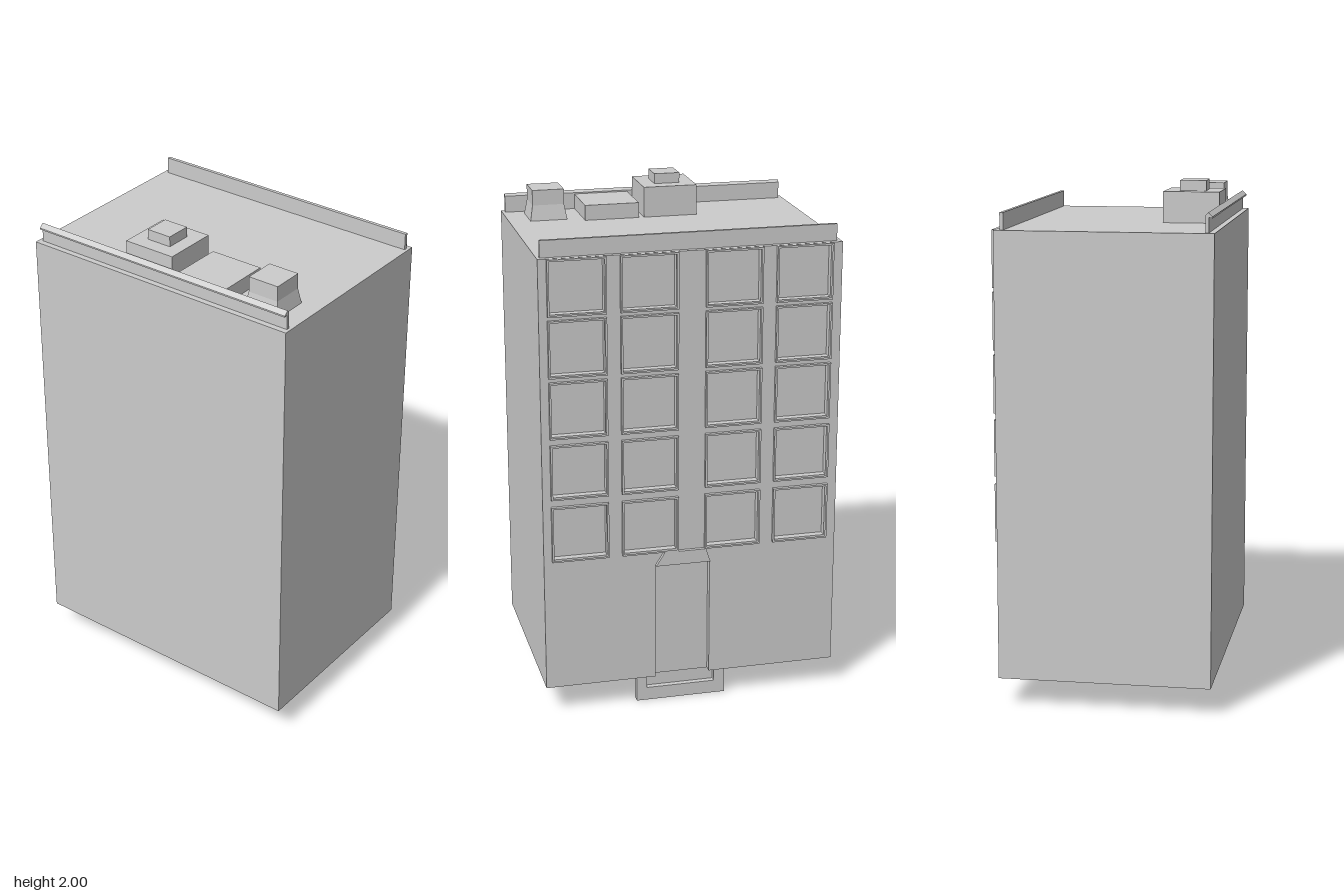
import * as THREE from 'three';

const mat = new THREE.MeshStandardMaterial({ color: 0xcccccc, flatShading: true });

function add(group, name, geo) {
  const m = new THREE.Mesh(geo, mat);
  m.name = name;
  group.add(m);
  return m;
}

// Box from its limits on each axis
function block(group, name, [x0, x1], [y0, y1], [z0, z1]) {
  const m = add(group, name, new THREE.BoxGeometry(x1 - x0, y1 - y0, z1 - z0));
  m.position.set((x0 + x1) / 2, (y0 + y1) / 2, (z0 + z1) / 2);
  return m;
}

const poly = (pts) => pts.map(([a, b]) => new THREE.Vector2(a, b));
const rect = (z0, z1, y0, y1) => poly([[-z0, y0], [-z1, y0], [-z1, y1], [-z0, y1]]);

// Outline drawn in (-z, y), extruded along +x from x0 to x1
function sidePlate(group, name, outline, holes, x0, x1) {
  const shape = new THREE.Shape(outline);
  holes.forEach((h) => shape.holes.push(new THREE.Path(h)));
  const geo = new THREE.ExtrudeGeometry(shape, { depth: x1 - x0, bevelEnabled: false });
  geo.rotateY(Math.PI / 2);
  geo.translate(x0, 0, 0);
  return add(group, name, geo);
}

export function createModel() {
  const g = new THREE.Group();
  g.name = 'building';
  const back = 0.375, wall = 0.405, front = 0.42;
  const columns = [[0.33, 0.553], [0.055, 0.277], [-0.272, -0.051], [-0.547, -0.326]];
  const rows = [[1.621, 1.839], [1.384, 1.606], [1.144, 1.367], [0.9, 1.118], [0.645, 0.87]];
  const t = 0.007;

  // Main block, behind the recessed facade
  block(g, 'body', [-0.42, back], [0.11, 1.84], [-0.585, 0.585]);

  // Facade with window openings and a doorway notch
  const windows = columns.flatMap(([z0, z1]) => rows.map(([y0, y1]) => [z0, z1, y0, y1]));
  const inner = ([z0, z1, y0, y1]) => rect(z0 + t, z1 - t, y0 + t, y1 - t);
  sidePlate(g, 'facade', poly([
    [-0.585, 0.11], [-0.145, 0.11], [-0.145, 0.59], [0.073, 0.59],
    [0.073, 0.11], [0.585, 0.11], [0.585, 1.84], [-0.585, 1.84],
  ]), windows.map(inner), back, wall);

  // Raised thin frame round every window
  windows.forEach((w) => sidePlate(g, 'windowFrame', rect(...w), [inner(w)], wall, front));

  // Tapered canopy over the door
  sidePlate(g, 'doorCanopy', poly([
    [-0.145, 0.59], [0.073, 0.59], [0.055, 0.645], [-0.11, 0.645],
  ]), [], wall, front);

  // Entrance step below the door: back plate and U-shaped rim
  block(g, 'stepBack', [0.35, 0.36], [0, 0.11], [-0.143, 0.217]);
  sidePlate(g, 'stepRim', poly([
    [-0.217, 0], [0.143, 0], [0.143, 0.11], [0.1, 0.11],
    [0.1, 0.053], [-0.175, 0.053], [-0.175, 0.11], [-0.217, 0.11],
  ]), [], 0.36, 0.383);

  // Parapets along both long sides of the roof
  block(g, 'leftParapet', [0.37, 0.384], [1.84, 1.905], [-0.568, 0.573]);
  const profile = new THREE.Shape(poly([
    [-0.397, 1.84], [-0.385, 1.84], [-0.385, 1.905], [-0.394, 1.915],
    [-0.411, 1.9], [-0.411, 1.894], [-0.397, 1.897],
  ]));
  const parapet = new THREE.ExtrudeGeometry(profile, { depth: 1.141, bevelEnabled: false });
  parapet.translate(0, 0, -0.568);
  add(g, 'rightParapet', parapet);

  // Roof units
  block(g, 'roofUnit', [-0.386, -0.168], [1.84, 1.96], [-0.163, 0.052]);
  block(g, 'roofUnitCap', [-0.328, -0.226], [1.96, 2], [-0.106, -0.004]);
  block(g, 'lowRoofUnit', [-0.384, -0.168], [1.84, 1.9], [0.073, 0.29]);

  // Square vent with flared skirt
  const k = Math.SQRT1_2;
  const skirt = new THREE.CylinderGeometry(0.126 * k, 0.147 * k, 0.06, 4, 1, true).rotateY(Math.PI / 4);
  add(g, 'ventSkirt', skirt).position.set(-0.278, 1.87, 0.428);
  block(g, 'ventTop', [-0.341, -0.215], [1.9, 1.96], [0.365, 0.491]);

  return g;
}
